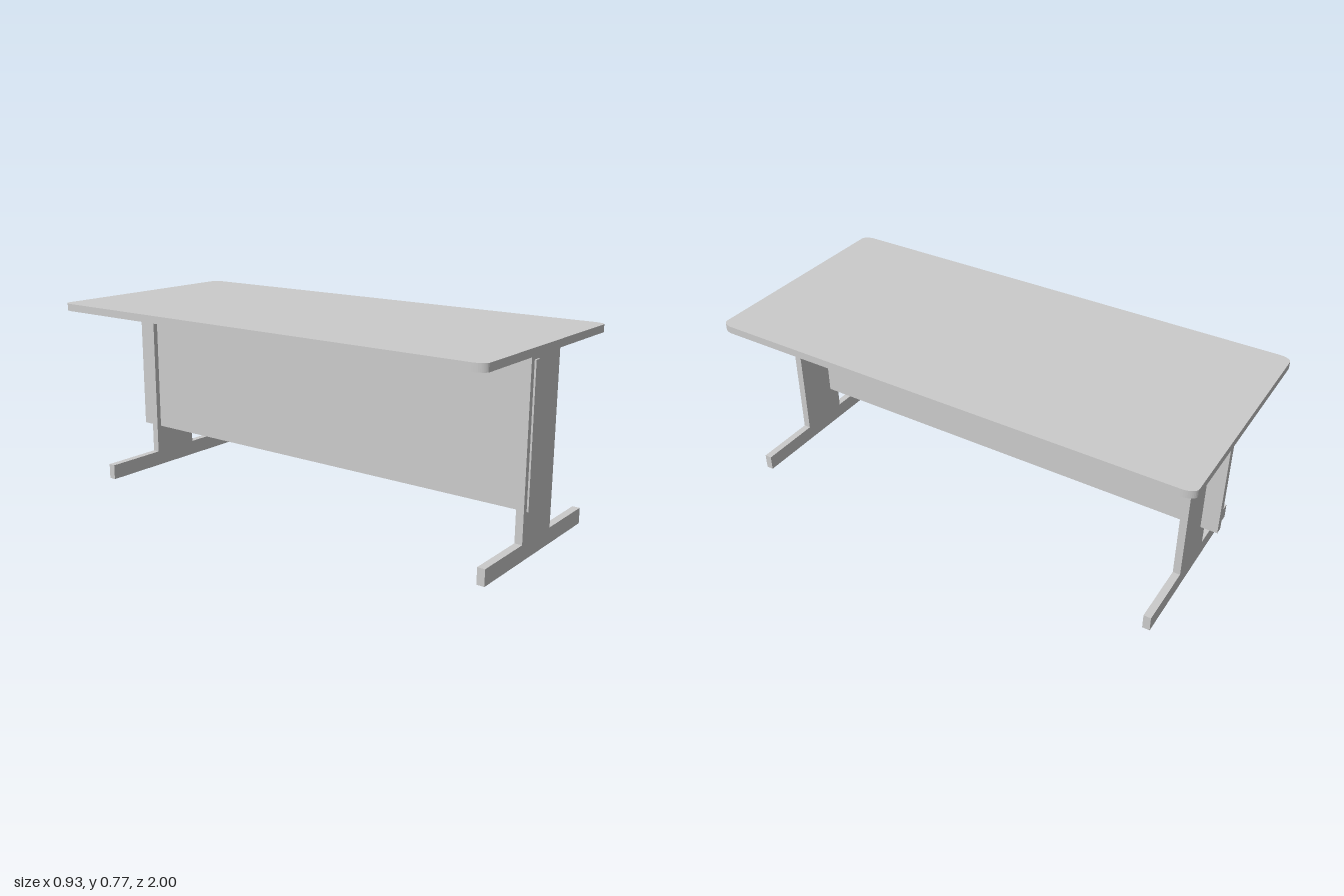
import * as THREE from 'three';

const material = new THREE.MeshStandardMaterial({ color: 0xcccccc, flatShading: true });

function addMesh(group, name, geometry, x, y, z) {
  const mesh = new THREE.Mesh(geometry, material);
  mesh.name = name;
  mesh.position.set(x, y, z);
  group.add(mesh);
  return mesh;
}

// Rectangle outline with elliptical corners
function roundedOutline(hx, hy, rx, ry) {
  const s = new THREE.Shape();
  s.moveTo(hx, -hy + ry);
  s.lineTo(hx, hy - ry);
  s.absellipse(hx - rx, hy - ry, rx, ry, 0, Math.PI / 2);
  s.absellipse(-hx + rx, hy - ry, rx, ry, Math.PI / 2, Math.PI);
  s.absellipse(-hx + rx, -hy + ry, rx, ry, Math.PI, Math.PI * 1.5);
  s.absellipse(hx - rx, -hy + ry, rx, ry, Math.PI * 1.5, Math.PI * 2);
  return s;
}

// Inverted T: wide foot with a broad upright
function legOutline() {
  const foot = 0.371, post = 0.108, footTop = 0.063, top = 0.74;
  return new THREE.Shape([
    [-foot, 0], [foot, 0], [foot, footTop], [post, footTop],
    [post, top], [-post, top], [-post, footTop], [-foot, footTop],
  ].map(([x, y]) => new THREE.Vector2(x, y)));
}

export function createModel() {
  const table = new THREE.Group();
  table.name = 'table';

  // Tabletop
  const top = new THREE.ExtrudeGeometry(roundedOutline(0.463, 1, 0.03, 0.05),
    { depth: 0.03, bevelEnabled: false, curveSegments: 5 });
  top.rotateX(-Math.PI / 2);
  addMesh(table, 'tabletop', top, 0, 0.74, 0);

  // Legs, set unevenly along the length
  const leg = new THREE.ExtrudeGeometry(legOutline(), { depth: 0.03, bevelEnabled: false });
  addMesh(table, 'frontLeg', leg, 0, 0, 0.95);
  addMesh(table, 'backLeg', leg, 0, 0, -0.872);

  // Modesty panel running through both legs
  addMesh(table, 'modestyPanel', new THREE.BoxGeometry(0.03, 0.54, 1.928), -0.072, 0.45, 0.023);

  return table;
}
